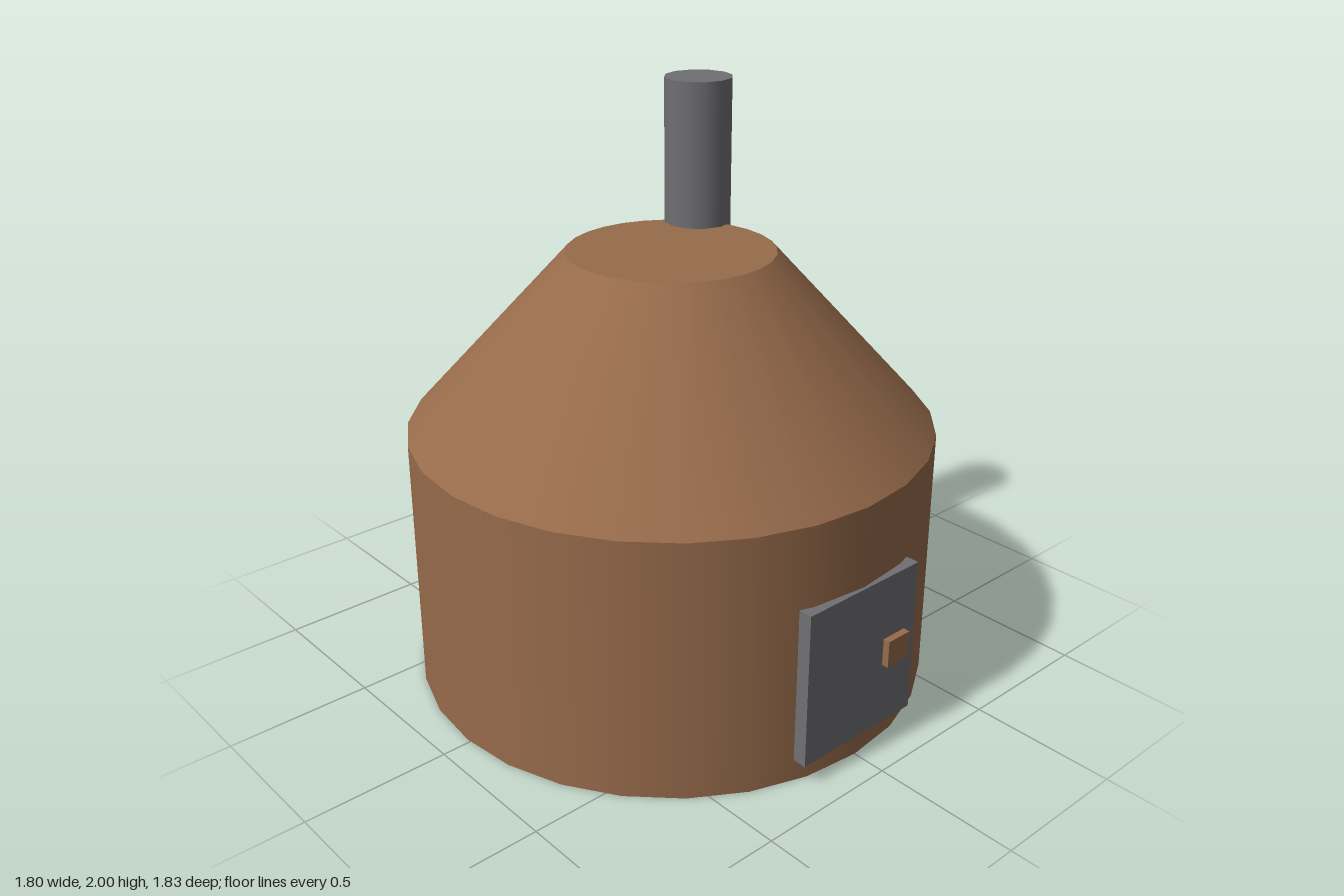
import * as THREE from 'three';

export function createModel() {
  const model = new THREE.Group();
  const clay = new THREE.MeshStandardMaterial({ color: 0x976b4b });
  clay.name = 'clay brown';
  const iron = new THREE.MeshStandardMaterial({ color: 0x707074 });
  iron.name = 'iron grey';

  function add(name, geometry, material, x, y, z) {
    const mesh = new THREE.Mesh(geometry, material);
    mesh.name = name;
    mesh.position.set(x, y, z);
    model.add(mesh);
  }

  const sides = 28;
  const centreZ = -0.016;

  // Round oven body and its truncated cone roof
  add('body', new THREE.CylinderGeometry(0.898, 0.898, 0.9, sides), clay, 0, 0.45, centreZ);
  add('roof', new THREE.CylinderGeometry(0.349, 0.898, 0.6, sides), clay, 0, 1.2, centreZ);

  // Chimney rising through the back left edge of the roof
  add('chimney', new THREE.CylinderGeometry(0.118, 0.118, 0.6, 12), iron, 0.3, 1.7, -0.216);

  // Flat front door with a small square handle
  add('door', new THREE.BoxGeometry(0.494, 0.545, 0.048), iron, 0, 0.35, 0.868);
  add('doorHandle', new THREE.BoxGeometry(0.098, 0.096, 0.048), clay, 0.148, 0.35, 0.892);

  return model;
}
